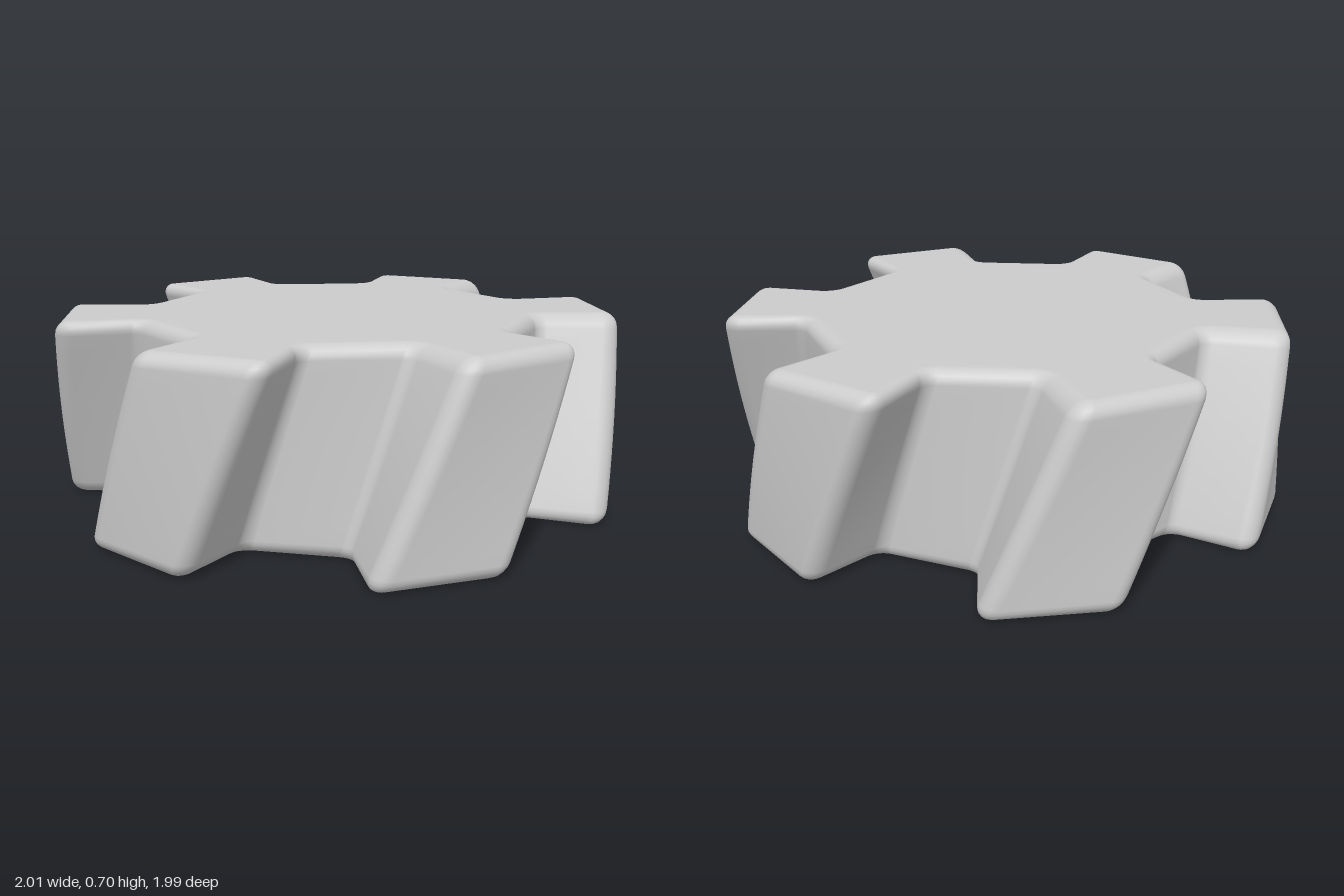
import * as THREE from 'three';

const TEETH = 6, HEIGHT = 0.7, BEVEL = 0.05;
const TWIST_BOTTOM = 13.1 * Math.PI / 180, TWIST_TOP = -4.3 * Math.PI / 180;

// Corners of one tooth: radial distance, sideways distance, fillet radius
const TOOTH = [[0.695, -0.2, 0.05], [0.99, -0.24, 0.06], [0.99, 0.24, 0.06], [0.695, 0.2, 0.05]];

// Closed gear outline with filleted corners: list of points with outward normals
function gearOutline(arcSteps = 6) {
  const corners = [];
  for (let t = 0; t < TEETH; t++) {
    const a = t / TEETH * Math.PI * 2;
    for (const [u, v, r] of TOOTH) {
      corners.push({ p: new THREE.Vector2(u, v).rotateAround(new THREE.Vector2(), a), r });
    }
  }
  const outline = [], n = corners.length;
  corners.forEach(({ p, r }, i) => {
    const din = p.clone().sub(corners[(i + n - 1) % n].p).normalize();
    const dout = corners[(i + 1) % n].p.clone().sub(p).normalize();
    const turn = Math.atan2(din.cross(dout), din.dot(dout));
    const s = Math.sign(turn);
    const n0 = new THREE.Vector2(din.y, -din.x);
    const centre = p.clone().addScaledVector(din, -r * Math.tan(Math.abs(turn) / 2)).addScaledVector(n0, -s * r);
    for (let k = 0; k <= arcSteps; k++) {
      const normal = n0.clone().rotateAround(new THREE.Vector2(), turn * k / arcSteps);
      outline.push({ p: centre.clone().addScaledVector(normal, s * r), normal });
    }
  });
  return outline;
}

// Heights and insets of the stacked sections: rounded edge, body, rounded edge
function sections(bevelSteps = 5, bodySteps = 10) {
  const rows = [];
  for (let k = 0; k <= bevelSteps; k++) {
    const a = k / bevelSteps * Math.PI / 2;
    rows.push([BEVEL * (1 - Math.sin(a)), BEVEL * (1 - Math.cos(a))]);
  }
  rows.reverse();
  const low = rows.map(([y, d]) => [BEVEL - y, BEVEL - d]);
  const bottom = low.map(([y, d]) => [BEVEL - y, BEVEL - d]).reverse();
  bottom.sort((a, b) => a[0] - b[0]);
  const top = bottom.map(([y, d]) => [HEIGHT - y, d]).reverse();
  const body = [];
  for (let k = 1; k < bodySteps; k++) body.push([BEVEL + (HEIGHT - 2 * BEVEL) * k / bodySteps, 0]);
  return [...bottom, ...body, ...top];
}

function helicalGearGeometry() {
  const outline = gearOutline(), rows = sections(), n = outline.length;
  const positions = [], index = [];
  for (const [y, inset] of rows) {
    const twist = THREE.MathUtils.lerp(TWIST_BOTTOM, TWIST_TOP, y / HEIGHT);
    for (const { p, normal } of outline) {
      const q = p.clone().addScaledVector(normal, -inset).rotateAround(new THREE.Vector2(), twist);
      positions.push(q.x, y, q.y);
    }
  }
  // Twisted side wall
  for (let j = 0; j < rows.length - 1; j++) {
    for (let i = 0; i < n; i++) {
      const a = j * n + i, b = j * n + (i + 1) % n;
      index.push(a, a + n, b, b, a + n, b + n);
    }
  }
  // Flat bottom and top faces
  const face = outline.map(({ p, normal }) => p.clone().addScaledVector(normal, -BEVEL));
  const last = (rows.length - 1) * n;
  for (const [a, b, c] of THREE.ShapeUtils.triangulateShape(face, [])) {
    index.push(a, b, c, last + a, last + c, last + b);
  }
  const geometry = new THREE.BufferGeometry();
  geometry.setAttribute('position', new THREE.Float32BufferAttribute(positions, 3));
  geometry.setIndex(index);
  geometry.computeVertexNormals();
  return geometry;
}

export function createModel() {
  const group = new THREE.Group();
  const gear = new THREE.Mesh(helicalGearGeometry(), new THREE.MeshStandardMaterial({ color: 0xcccccc }));
  gear.name = 'helicalGear';
  group.add(gear);
  return group;
}
